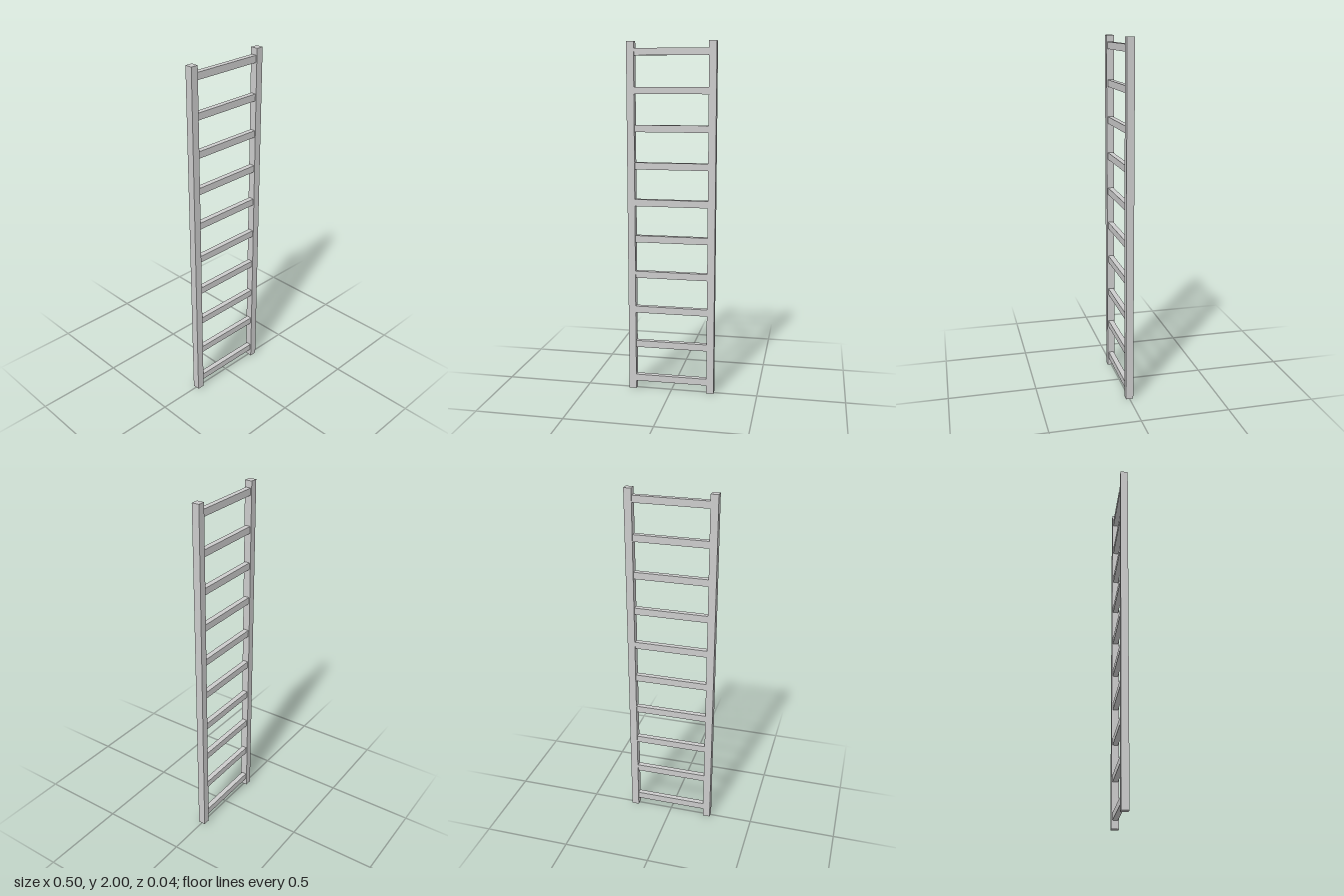
import * as THREE from 'three';

export function createModel() {
  const group = new THREE.Group();
  const material = new THREE.MeshStandardMaterial({ color: 0xcccccc, flatShading: true });

  const addBox = (name, width, height, depth, x, y) => {
    const mesh = new THREE.Mesh(new THREE.BoxGeometry(width, height, depth), material);
    mesh.name = name;
    mesh.position.set(x, y, 0);
    group.add(mesh);
  };

  // Two square side rails
  const rail = 0.042;
  const railX = 0.25 - rail / 2;
  addBox('leftRail', rail, 2, rail, railX, 1);
  addBox('rightRail', rail, 2, rail, -railX, 1);

  // Ten evenly spaced rungs between the rails
  const rungLength = 0.5 - 2 * rail;
  for (let i = 0; i < 10; i++) {
    addBox(`rung${i + 1}`, rungLength, 0.039, 0.03, 0, 0.065 + i * 0.2087);
  }
  return group;
}
